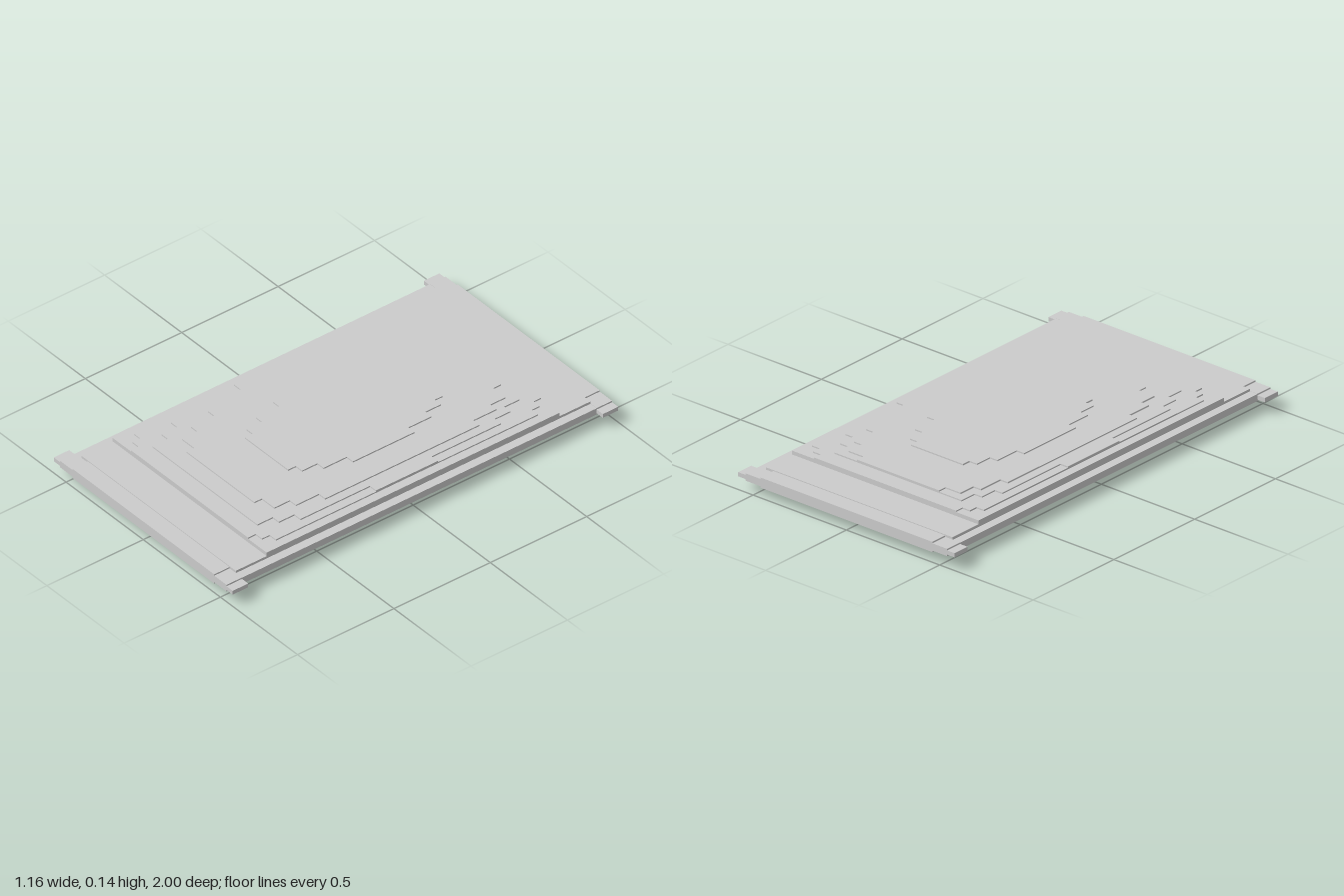
import * as THREE from 'three';

const MID = 0.0685; // height of the flat seam

// Stair-stepped outline from [half width, half length] pairs, widest first
function steppedShape(steps) {
  const quarter = [];
  steps.forEach(([x, z], i) => {
    quarter.push([x, i ? steps[i - 1][1] : 0], [x, z]);
  });
  quarter.shift();
  quarter.push([0, steps[steps.length - 1][1]]);
  const back = [...quarter].reverse();
  const points = [
    ...quarter,
    ...back.slice(1).map(([x, z]) => [-x, z]),
    ...quarter.slice(0, -1).map(([x, z]) => [-x, -z]),
    ...back.map(([x, z]) => [x, -z]),
  ];
  return new THREE.Shape(points.map(([x, z]) => new THREE.Vector2(x, z)));
}

export function createModel() {
  const group = new THREE.Group();
  const material = new THREE.MeshStandardMaterial({ color: 0xcccccc, flatShading: true });

  const add = (name, geometry, x, y, z) => {
    const mesh = new THREE.Mesh(geometry, material);
    mesh.name = name;
    mesh.position.set(x, y, z);
    group.add(mesh);
  };
  const slab = (name, halfX, halfY, halfZ, z = 0) =>
    add(name, new THREE.BoxGeometry(halfX * 2, halfY * 2, halfZ * 2), 0, MID, z);

  // Flat pouch body and its thin side seams
  slab('pouchBody', 0.5, 0.027, 0.92);
  slab('sideSeam', 0.54, 0.0155, 0.96);

  // Sealed strips across both ends, thinning towards their tips
  for (const side of [1, -1]) {
    slab('endSeal', 0.46, 0.023, 0.04, side * 0.96);
    slab('endSealShoulder', 0.54, 0.0165, 0.04, side * 0.96);
    slab('endSealTip', 0.58, 0.0095, 0.04, side * 0.96);
  }

  // Filled bulge: terraces shrinking towards the top and the underside
  const terraces = [
    { rise: 0.0445, shift: 0, steps: [[0.5, 0.76]] },
    { rise: 0.0505, shift: 0, steps: [[0.46, 0.68], [0.42, 0.72], [0.38, 0.76]] },
    { rise: 0.0565, shift: 0, steps: [[0.46, 0.16], [0.42, 0.52], [0.38, 0.6], [0.34, 0.68]] },
    { rise: 0.0625, shift: -0.04, steps: [[0.38, 0.4], [0.34, 0.52], [0.3, 0.6], [0.22, 0.64]] },
    { rise: 0.0685, shift: -0.04, steps: [[0.26, 0.16], [0.22, 0.28], [0.18, 0.36], [0.14, 0.4]] },
  ];
  terraces.forEach(({ rise, shift, steps }, i) => {
    const geometry = new THREE.ExtrudeGeometry(steppedShape(steps), { depth: rise * 2, bevelEnabled: false });
    geometry.rotateX(-Math.PI / 2);
    add(`bulgeTerrace${i + 1}`, geometry, 0, MID - rise, shift);
  });

  return group;
}
